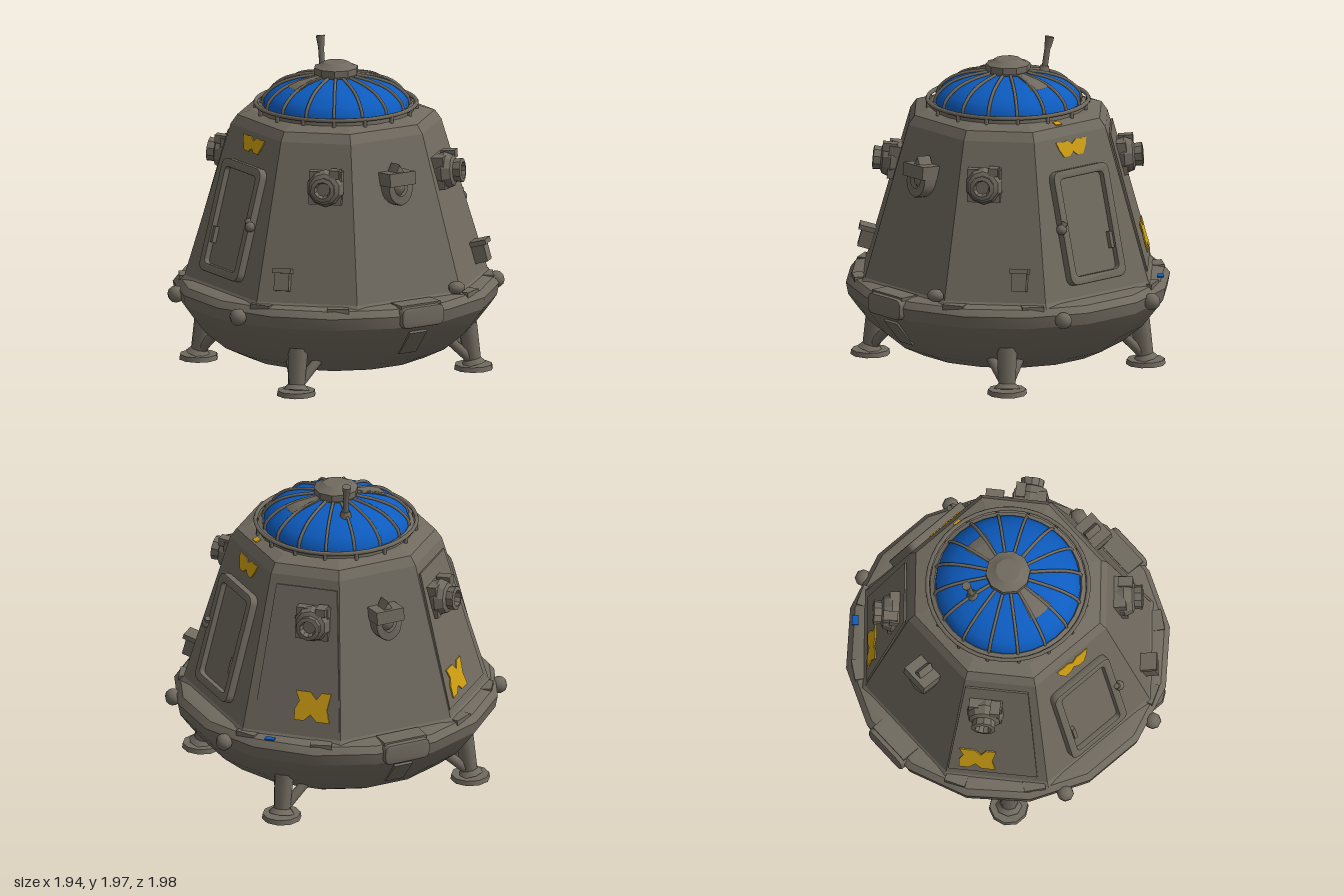
import * as THREE from 'three';
import { toCreasedNormals } from 'three/addons/utils/BufferGeometryUtils.js';

const mat = (name, color) => {
  const m = new THREE.MeshStandardMaterial({ color });
  m.name = name;
  return m;
};
const V = (x, y, z) => new THREE.Vector3(x, y, z);
const P = (pairs) => pairs.map(([x, y]) => new THREE.Vector2(x, y));
const TILT = 0.263;                                          // lean of the cabin walls
const DIAG = 0.738;                                          // direction of the diagonal walls
const wallAt = (y) => 0.82 - 0.269 * (y - 0.57);             // wall distance from the axis

export function createModel() {
  const root = new THREE.Group();
  root.name = 'spacePod';
  const hull = mat('hullGrey', 0x706a5f);
  const glass = mat('domeBlue', 0x0d5cc0);
  const paint = mat('markingYellow', 0xd0a012);

  const add = (parent, name, geo, material = hull, x = 0, y = 0, z = 0) => {
    const mesh = new THREE.Mesh(geo, material);
    mesh.name = name;
    mesh.position.set(x, y, z);
    parent.add(mesh);
    return mesh;
  };
  const box = (w, h, d) => new THREE.BoxGeometry(w, h, d);
  const crease = (geo, angle = 0.5) => toCreasedNormals(geo, angle);
  const plate = (shape, depth, bevel = 0) => new THREE.ExtrudeGeometry(shape, {
    depth, bevelEnabled: bevel > 0, bevelSize: bevel, bevelThickness: bevel, bevelSegments: 2, curveSegments: 6,
  });
  // Cylinder between two points
  const rod = (parent, name, a, b, r0, r1 = r0, sides = 8) => {
    const dir = b.clone().sub(a);
    const mesh = add(parent, name, new THREE.CylinderGeometry(r1, r0, dir.length(), sides));
    mesh.position.copy(a).addScaledVector(dir, 0.5);
    mesh.quaternion.setFromUnitVectors(V(0, 1, 0), dir.normalize());
    return mesh;
  };
  // Group lying on a cabin wall: x along the wall, y up it, z outward
  const onWall = (name, angle, y, tilt = TILT, shift = 0) => {
    const g = new THREE.Group();
    const s = Math.sin(angle), c = Math.cos(angle);
    const reach = wallAt(y) * (Math.abs(s * c) > 0.3 ? 1.04 : 1);   // diagonal walls lie further out
    g.name = name;
    g.rotation.set(-tilt, angle, 0, 'YXZ');
    g.position.set(s * reach + c * shift, y, c * reach - s * shift);
    root.add(g);
    return g;
  };
  const roundedRect = (w, h, r, target = new THREE.Shape()) => {
    const x = w / 2, y = h / 2;
    target.moveTo(-x + r, -y).lineTo(x - r, -y).quadraticCurveTo(x, -y, x, -y + r);
    target.lineTo(x, y - r).quadraticCurveTo(x, y, x - r, y).lineTo(-x + r, y);
    target.quadraticCurveTo(-x, y, -x, y - r).lineTo(-x, -y + r).quadraticCurveTo(-x, -y, -x + r, -y);
    return target;
  };

  // Saucer base
  const saucer = P([[0, 0.09], [0.58, 0.092], [0.71, 0.155], [0.84, 0.262], [0.925, 0.372], [0.968, 0.432],
    [0.982, 0.505], [0.95, 0.545], [0.9, 0.557], [0.75, 0.557]]);
  add(root, 'saucer', crease(new THREE.LatheGeometry(saucer, 16, Math.PI / 16), 0.42));

  // Eight-sided cabin with a stepped roof; front, back and door walls are a little wider than the diagonals
  const k = 1 / Math.cos(Math.PI / 8);
  const walls = P([[0.845, 0.54], [0.82, 0.57], [0.57, 1.5], [0.535, 1.555], [0.46, 1.58], [0, 1.585]]);
  walls.forEach((p) => { p.x *= k; });
  const cabin = new THREE.LatheGeometry(walls, 8, Math.PI / 8);
  const pos = cabin.attributes.position;
  for (let i = 0; i < pos.count; i++) {
    const x = pos.getX(i), z = pos.getZ(i);
    if (Math.abs(x) < Math.abs(z)) pos.setX(i, x * 1.08);
    else pos.setZ(i, z * 1.2);
  }
  add(root, 'cabin', crease(cabin, 0.1));

  // Fittings round the saucer rim
  const rimPlate = roundedRect(0.27, 0.1, 0.03);
  for (let i = 0; i < 4; i++) {
    const side = new THREE.Group();
    side.name = 'rimFittings';
    side.rotation.y = i * Math.PI / 2;
    root.add(side);
    if (i % 2 === 0) {
      add(side, 'rimPlate', crease(plate(rimPlate, 0.055, 0.015), 0.6), hull, 0, 0.49, 0.92);
      add(side, 'rimPlateTop', box(0.28, 0.02, 0.12), hull, 0, 0.555, 0.9);
      add(side, 'rimPlateStem', box(0.12, 0.2, 0.03), hull, 0, 0.315, 0.857).rotation.x = 0.7;
    } else {
      for (const x of [-0.35, 0.35]) {
        add(side, 'rimKnob', new THREE.SphereGeometry(0.052, 8, 6), hull, x, 0.475, 0.918);
      }
    }
    for (const a of [-0.55, 0.5]) {
      add(side, 'rimBlock', box(0.13, 0.04, 0.07), hull, Math.sin(a) * 0.91, 0.54, Math.cos(a) * 0.91).rotation.y = a;
    }
  }
  add(root, 'rimValve', new THREE.SphereGeometry(0.05, 7, 5), hull, 0.32, 0.6, 0.85).scale.set(1.1, 0.8, 1);
  add(root, 'rimMarker', box(0.06, 0.008, 0.04), glass, 0.725, 0.558, -0.585).rotation.y = -0.7;

  // Doors on both sides, with badge above
  const frame = roundedRect(0.42, 0.68, 0.05);
  frame.holes.push(roundedRect(0.35, 0.61, 0.04, new THREE.Path()));
  const badge = new THREE.Shape(P([[-0.12, 0.045], [-0.105, 0], [-0.075, -0.05], [-0.03, -0.05], [0, -0.025],
    [0.03, -0.05], [0.075, -0.05], [0.105, 0], [0.12, 0.045], [0.065, 0.04], [0.035, 0.045], [0, 0.02],
    [-0.035, 0.045], [-0.065, 0.04]]));
  for (const s of [1, -1]) {
    const door = onWall('door', s * Math.PI / 2, 0.975);
    add(door, 'doorFrame', crease(plate(frame, 0.04, 0.008), 0.6));
    add(door, 'doorPanel', box(0.36, 0.62, 0.02), hull, 0, 0, 0.002);
    add(door, 'doorLatch', new THREE.SphereGeometry(0.032, 8, 6), hull, -s * 0.225, 0, 0.045);
    rod(door, 'doorLatchArm', V(-s * 0.225, 0, 0.045), V(-s * 0.2, 0.04, 0.06), 0.018);
    add(door, 'doorHandle', box(0.022, 0.1, 0.03), hull, s * 0.15, -0.12, 0.025);
    add(onWall('doorBadge', s * Math.PI / 2, 1.43), 'badge', plate(badge, 0.006), paint);
  }
  add(root, 'roofMarker', box(0.035, 0.009, 0.045), paint, 0.507, 1.568, 0.045).rotation.z = -0.32;

  // Profiles of the round thrusters and the drop-shaped vents
  const nozzle = P([[0.1, 0], [0.115, 0.05], [0.095, 0.1], [0.07, 0.11], [0.075, 0.155], [0.05, 0.16], [0.04, 0.12], [0, 0.12]]);
  const drop = (s, target) => target.moveTo(0, 0.11 * s).quadraticCurveTo(0.03 * s, 0.04 * s, 0.075 * s, -0.01 * s)
    .quadraticCurveTo(0.08 * s, -0.1 * s, 0, -0.12 * s).quadraticCurveTo(-0.08 * s, -0.1 * s, -0.075 * s, -0.01 * s)
    .quadraticCurveTo(-0.03 * s, 0.04 * s, 0, 0.11 * s);
  const ventShape = drop(1, new THREE.Shape());
  ventShape.holes.push(drop(0.6, new THREE.Path()));
  const panel = new THREE.Shape(P([[-0.27, -0.44], [0.27, -0.44], [0.19, 0.42], [-0.19, 0.42]]));
  const sign = new THREE.Shape(P([[-0.11, -0.09], [-0.05, -0.09], [-0.01, -0.05], [0.03, -0.09], [0.11, -0.09], [0.09, -0.01],
    [0.11, 0.09], [0.05, 0.09], [0.02, 0.045], [-0.02, 0.09], [-0.11, 0.09], [-0.085, 0.03], [-0.11, -0.02]]));
  for (const s of [1, -1]) {
    // Thrusters on the diagonal walls, set toward the front and back
    for (const front of [true, false]) {
      const thruster = onWall('thruster', s * (front ? DIAG : Math.PI - DIAG), 1.25, 0.08, front ? -s * 0.06 : s * 0.06);
      add(thruster, 'thrusterBase', box(0.2, 0.2, 0.1), hull, 0, 0, 0.005);
      add(thruster, 'thrusterNozzle', crease(new THREE.LatheGeometry(nozzle, 10), 0.5), hull, 0, 0, -0.01).rotation.x = Math.PI / 2;
      add(thruster, 'thrusterLug', box(0.06, 0.05, 0.09), hull, 0.06, 0.09, 0.05);
    }
    // Vents front and back
    const vent = onWall('vent', s > 0 ? 0 : Math.PI, 1.245, 0.1);
    add(vent, 'ventHood', crease(plate(ventShape, 0.085, 0.01), 0.6));
    add(vent, 'ventCore', new THREE.SphereGeometry(0.06, 8, 6), hull, 0, -0.02, 0.03);
    add(vent, 'ventCap', box(0.18, 0.08, 0.15), hull, 0, 0.035, 0.045);

    // Low lamp boxes on the front diagonals
    const lamp = onWall('lamp', s * DIAG, 0.7, TILT, s * 0.175);
    add(lamp, 'lampBody', box(0.09, 0.11, 0.09), hull, 0, -0.01, 0.035);
    add(lamp, 'lampHood', box(0.11, 0.03, 0.12), hull, 0, 0.055, 0.04);

    // Panels and hazard signs on the back diagonals
    add(onWall('wallPanel', s * (Math.PI - DIAG), 1.04), 'panel', plate(panel, 0.012));
    const hazard = onWall('hazardSign', s * (Math.PI - DIAG), 0.75, TILT, s * 0.095);
    add(hazard, 'sign', plate(sign, 0.008), paint, 0, 0, 0.012);
  }

  // Glass dome
  const domeProfile = [[0.44, 1.58], [0.435, 1.635], [0.4, 1.68], [0.335, 1.727], [0.24, 1.76], [0.12, 1.782]];
  add(root, 'dome', crease(new THREE.LatheGeometry(P([...domeProfile, [0, 1.785]]), 32), 0.8), glass);
  const ribCount = 16;
  for (let i = 0; i < ribCount; i++) {
    const a = (i + 0.5) / ribCount * Math.PI * 2;
    const sx = Math.sin(a), cz = Math.cos(a);
    const path = new THREE.CatmullRomCurve3(domeProfile.map(([r, y]) => V(sx * (r + 0.004), y + 0.004, cz * (r + 0.004))));
    add(root, 'domeRib', new THREE.TubeGeometry(path, 12, 0.01, 6));
    rod(root, 'railPost', V(sx * 0.485, 1.56, cz * 0.485), V(sx * 0.485, 1.615, cz * 0.485), 0.012, 0.012, 6);
  }
  // Solid wedges on the dome, one each side
  const wedge = P([[0.31, 1.725], [0.31, 1.746], [0.24, 1.77], [0.12, 1.792]]);
  for (const s of [1, -1]) {
    add(root, 'domeWedge', new THREE.LatheGeometry(wedge, 4, s * Math.PI / 2 - 0.26, 0.52));
  }

  // Collar and rail round the dome
  const collar = P([[0.475, 1.56], [0.47, 1.6], [0.445, 1.61], [0.435, 1.595]]);
  add(root, 'domeCollar', crease(new THREE.LatheGeometry(collar, 32), 0.5));
  add(root, 'domeRail', new THREE.TorusGeometry(0.485, 0.013, 6, 40), hull, 0, 1.617, 0).rotation.x = Math.PI / 2;

  // Top cap
  const cap = P([[0.11, 1.76], [0.135, 1.8], [0.135, 1.835], [0.105, 1.845], [0.075, 1.865], [0, 1.868]]);
  add(root, 'topCap', crease(new THREE.LatheGeometry(cap, 10), 0.4));

  // Antenna
  rod(root, 'antennaBase', V(0.05, 1.73, -0.235), V(0.055, 1.79, -0.245), 0.045, 0.025);
  rod(root, 'antennaMast', V(0.055, 1.76, -0.24), V(0.06, 1.93, -0.268), 0.018, 0.018);
  rod(root, 'antennaHead', V(0.06, 1.9, -0.263), V(0.063, 1.965, -0.277), 0.02, 0.028);

  // Four legs with braces and foot pads
  for (const sx of [1, -1]) {
    for (const sz of [1, -1]) {
      const leg = new THREE.Group();
      leg.name = 'leg';
      root.add(leg);
      const at = (x, y, z) => V(sx * x, y, sz * z);
      rod(leg, 'footPad', at(0.63, 0, 0.55), at(0.63, 0.03, 0.55), 0.12, 0.115, 10);
      rod(leg, 'ankle', at(0.63, 0.03, 0.55), at(0.625, 0.06, 0.545), 0.08, 0.055);
      rod(leg, 'legPost', at(0.63, 0.03, 0.55), at(0.6, 0.28, 0.525), 0.05, 0.062);
      rod(leg, 'brace', at(0.62, 0.05, 0.55), at(0.46, 0.2, 0.54), 0.03);
      rod(leg, 'brace', at(0.63, 0.05, 0.54), at(0.58, 0.2, 0.4), 0.03);
    }
  }
  return root;
}
